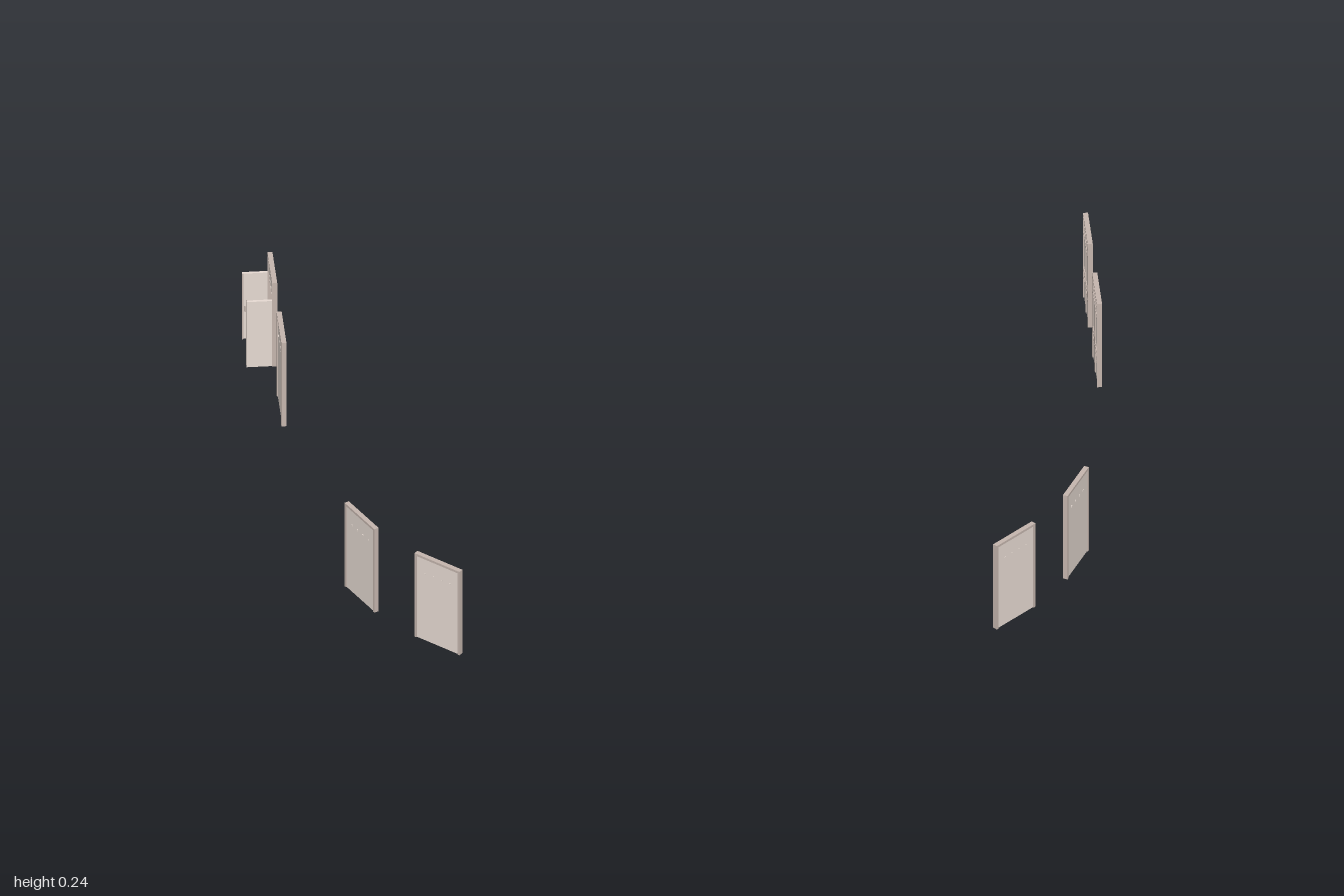
import * as THREE from 'three';

const W = 0.133, H = 0.237, T = 0.012; // overall door size
const POST = 0.006, LEAF_H = 0.185, LEAF_T = 0.007;
const LEAF_W = (W - 2 * POST) / 2;
const CENTRE_X = 0.028;

export function createModel() {
  const model = new THREE.Group();
  model.name = 'doorSet';
  const panelMat = new THREE.MeshStandardMaterial({ color: 0xe6dad2 });
  panelMat.name = 'pale beige panel';
  const frameMat = new THREE.MeshStandardMaterial({ color: 0xc4b5ad });
  frameMat.name = 'soft brown frame';

  function box(parent, name, mat, w, h, d, x, y, z) {
    const mesh = new THREE.Mesh(new THREE.BoxGeometry(w, h, d), mat);
    mesh.name = name;
    mesh.position.set(x, y, z);
    parent.add(mesh);
  }

  // One leaf, pivoting on its hinge; side is the hinge side (-1 or 1)
  function leaf(side, open) {
    const g = new THREE.Group();
    g.name = side > 0 ? 'leafLeft' : 'leafRight';
    const mid = -side * LEAF_W / 2;
    box(g, 'leafPanel', panelMat, LEAF_W, LEAF_H, LEAF_T, mid, LEAF_H / 2, 0);
    // fittings on the inner face
    const zIn = -LEAF_T / 2 - 0.001;
    box(g, 'meetingStrip', frameMat, 0.003, LEAF_H, 0.002, -side * (LEAF_W - 0.0015), LEAF_H / 2, zIn);
    box(g, 'pushBar', frameMat, LEAF_W * 0.7, 0.006, 0.003, mid, 0.088, zIn);
    for (const k of [-1, 1]) {
      box(g, 'barMount', frameMat, 0.006, 0.016, 0.003, mid + k * LEAF_W * 0.35, 0.085, zIn);
      box(g, 'lowerPlate', frameMat, 0.012, 0.006, 0.002, mid + k * LEAF_W * 0.25, 0.062, zIn);
    }
    g.position.x = side * (W / 2 - POST);
    if (open) {
      g.position.z = T / 2;
      g.rotation.y = side * Math.PI / 2;
    }
    return g;
  }

  // Framed double door, outer face toward local +z
  function door(name, open) {
    const g = new THREE.Group();
    g.name = name;
    for (const s of [-1, 1]) {
      box(g, 'framePost', frameMat, POST, H, T, s * (W - POST) / 2, H / 2, 0);
      g.add(leaf(s, open));
    }
    box(g, 'frameHead', frameMat, W - 2 * POST, POST, T, 0, H - POST / 2, 0);
    const th = H - POST - LEAF_H;
    box(g, 'transom', panelMat, W - 2 * POST, th, LEAF_T, 0, LEAF_H + th / 2, 0);
    box(g, 'transomRail', frameMat, W - 2 * POST, 0.005, 0.002, 0, LEAF_H + 0.0025, -LEAF_T / 2 - 0.001);
    // row of small studs outside, strips inside
    for (let i = 0; i < 4; i++) {
      const x = (i - 1.5) * 0.024;
      box(g, 'stud', panelMat, 0.004, 0.004, 0.003, x, LEAF_H + 0.004, LEAF_T / 2);
      box(g, 'innerStrip', frameMat, 0.016, 0.004, 0.002, x, 0.212, -LEAF_T / 2 - 0.001);
    }
    return g;
  }

  // [name, x from centre line, z, turn in degrees], mirrored across the centre line
  const places = [
    ['rearDoor', 0.966, -0.626, 90],
    ['middleDoor', 0.966, -0.372, 90],
    ['frontSideDoor', 0.846, 0.437, 63],
    ['frontDoor', 0.682, 0.647, 42],
  ];
  for (const [name, x, z, turn] of places) {
    for (const s of [1, -1]) {
      const open = name === 'rearDoor' && s < 0; // this door stands open
      const d = door(name + (s > 0 ? 'Left' : 'Right'), open);
      d.position.set(CENTRE_X + s * x, 0, z);
      d.rotation.y = THREE.MathUtils.degToRad(s * turn);
      model.add(d);
    }
  }
  return model;
}
